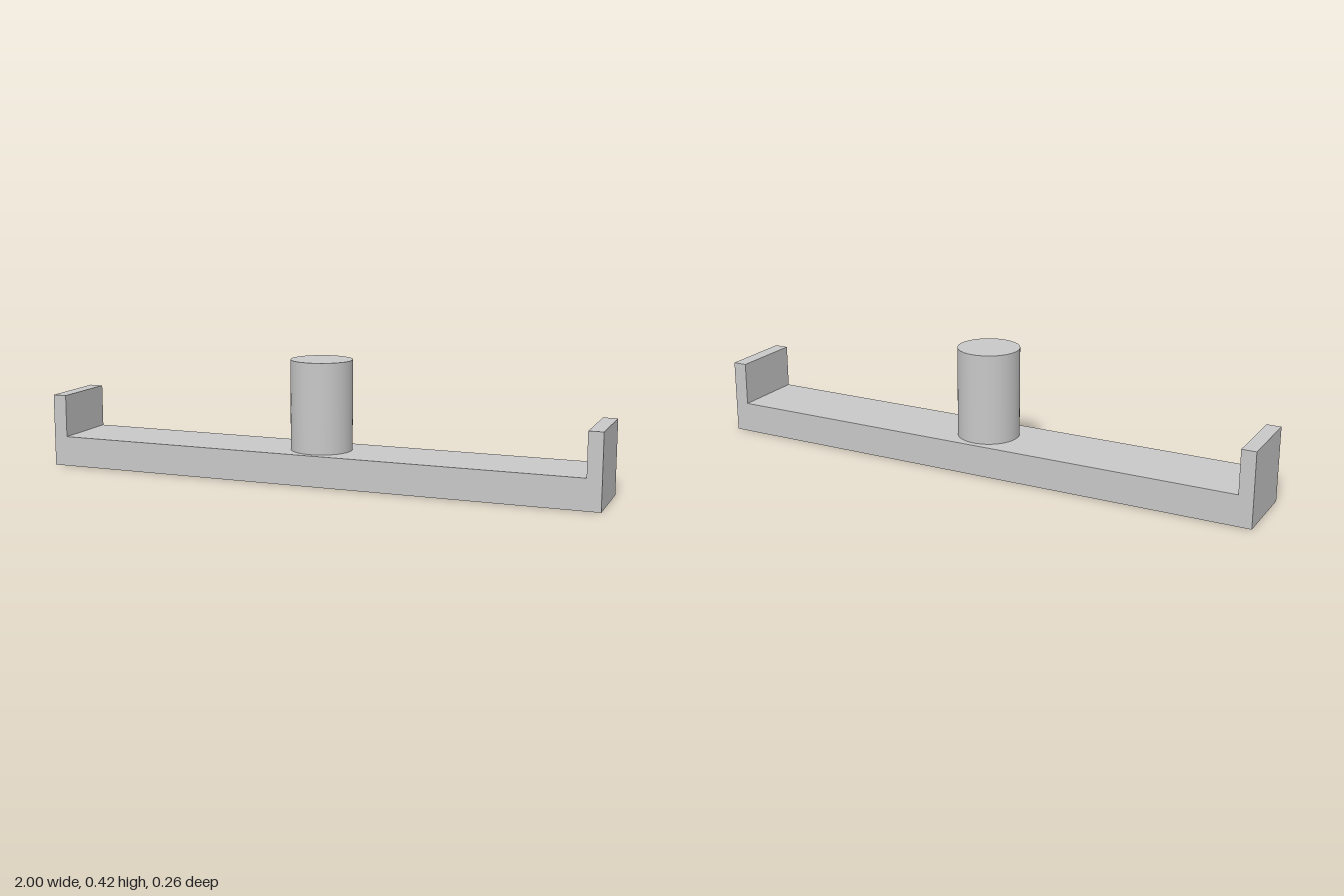
import * as THREE from 'three';

const DEPTH = 0.26;
const BASE_TOP = 0.108;
const WALL_TOP = 0.26;
const WALL = 0.05;
const POST_TOP = 0.424;
const POST_RADIUS = 0.108;

export function createModel() {
  const model = new THREE.Group();
  model.name = 'channelBracket';
  const grey = new THREE.MeshStandardMaterial({ color: 0xc8c8c8 });
  grey.name = 'light grey';

  // Long bar with an upright lip at each end, as one U-shaped profile
  const profile = new THREE.Shape([
    [-1, 0], [1, 0], [1, WALL_TOP], [1 - WALL, WALL_TOP],
    [1 - WALL, BASE_TOP], [-1 + WALL, BASE_TOP], [-1 + WALL, WALL_TOP], [-1, WALL_TOP],
  ].map(([x, y]) => new THREE.Vector2(x, y)));
  const barGeometry = new THREE.ExtrudeGeometry(profile, { depth: DEPTH, bevelEnabled: false });
  barGeometry.translate(0, 0, -DEPTH / 2);
  const bar = new THREE.Mesh(barGeometry, grey);
  bar.name = 'bar';
  model.add(bar);

  // Round post standing on the middle of the bar
  const height = POST_TOP - BASE_TOP;
  const post = new THREE.Mesh(
    new THREE.CylinderGeometry(POST_RADIUS, POST_RADIUS, height, 64), grey);
  post.name = 'post';
  post.position.y = BASE_TOP + height / 2;
  model.add(post);

  return model;
}
